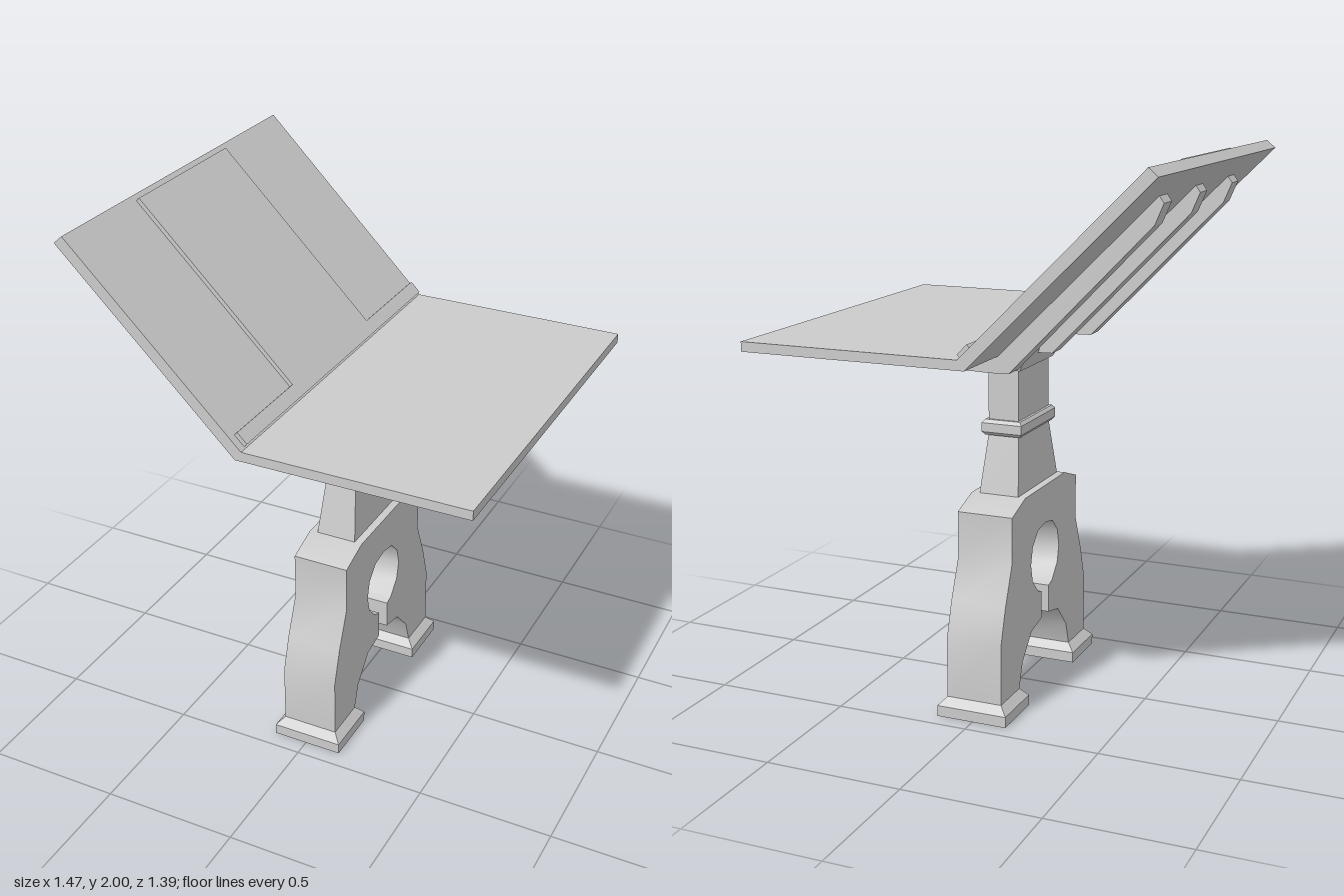
import * as THREE from 'three';
import { toCreasedNormals } from 'three/addons/utils/BufferGeometryUtils.js';

const material = new THREE.MeshStandardMaterial({ color: 0xcccccc });
const CX = 0.005; // x of the pedestal's centre line

function addMesh(parent, name, geometry) {
  const mesh = new THREE.Mesh(geometry, material);
  mesh.name = name;
  parent.add(mesh);
  return mesh;
}

// Extrudes an outline by depth, centred on the extrusion axis
function extrude(points, depth, crease = 0.2) {
  const shape = new THREE.Shape(points.map(([a, b]) => new THREE.Vector2(a, b)));
  const geometry = new THREE.ExtrudeGeometry(shape, { depth, bevelEnabled: false });
  geometry.translate(0, 0, -depth / 2);
  return toCreasedNormals(geometry, crease);
}

// Stacks rectangular sections [y, halfX, zMin, zMax] into a closed solid
function loft(sections, crease = 0.2) {
  const positions = [];
  const index = [];
  sections.forEach(([y, hx, z0, z1]) => {
    positions.push(CX - hx, y, z1, CX + hx, y, z1, CX + hx, y, z0, CX - hx, y, z0);
  });
  for (let s = 0; s < sections.length - 1; s++) {
    for (let i = 0; i < 4; i++) {
      const a = s * 4 + i, b = s * 4 + (i + 1) % 4;
      index.push(a, b, b + 4, a, b + 4, a + 4);
    }
  }
  const t = (sections.length - 1) * 4;
  index.push(0, 2, 1, 0, 3, 2, t, t + 1, t + 2, t, t + 2, t + 3);
  const geometry = new THREE.BufferGeometry();
  geometry.setAttribute('position', new THREE.Float32BufferAttribute(positions, 3));
  geometry.setIndex(index);
  return toCreasedNormals(geometry, crease);
}

const centred = (rows) => rows.map(([y, hx, hz]) => [y, hx, -hz, hz]);

export function createModel() {
  const model = new THREE.Group();
  model.name = 'lectern';

  // Arched base: half outline (z, y), mirrored, with a keyhole opening
  const half = [
    [0.19, 0.775], [0.31, 0.735], [0.31, 0.565], [0.37, 0.42], [0.41, 0.29], [0.41, 0.07],
    [0.245, 0.07], [0.215, 0.16], [0.13, 0.25], [0.035, 0.27], [0.035, 0.375],
    [0.07, 0.387], [0.12, 0.44], [0.136, 0.505], [0.12, 0.57], [0.07, 0.62],
  ];
  const outline = [...half, [0, 0.632], ...half.map(([z, y]) => [-z, y]).reverse()];
  const base = addMesh(model, 'archedBase', extrude(outline, 0.21, 0.7));
  base.rotation.y = -Math.PI / 2;
  base.position.x = CX;

  // Flared feet
  for (const [name, side] of [['frontFoot', 1], ['backFoot', -1]]) {
    const rows = [[0, 0.133, 0.22, 0.437], [0.04, 0.133, 0.22, 0.437], [0.07, 0.105, 0.245, 0.41]];
    addMesh(model, name, loft(rows.map(([y, hx, a, b]) =>
      side > 0 ? [y, hx, a, b] : [y, hx, -b, -a])));
  }

  // Column: tapered lower part and straight shaft
  addMesh(model, 'column', loft(centred([
    [0.77, 0.076, 0.187], [0.99, 0.058, 0.142], [1.24, 0.058, 0.142],
  ]), 0.02));
  addMesh(model, 'collar', loft(centred([
    [0.985, 0.068, 0.152], [0.997, 0.077, 0.162], [1.03, 0.077, 0.162], [1.042, 0.068, 0.152],
  ])));
  addMesh(model, 'capital', loft(centred([
    [1.228, 0.07, 0.155], [1.29, 0.096, 0.18], [1.336, 0.075, 0.15],
  ])));

  // Bent board: flat desk with a sloping rest
  addMesh(model, 'board', extrude([
    [-0.738, 1.972], [-0.1, 1.335], [0.735, 1.335], [0.735, 1.37], [-0.075, 1.37], [-0.706, 2.0],
  ], 1.39));

  // Ribs under the board
  const rib = extrude([
    [-0.655, 1.892], [-0.672, 1.868], [-0.642, 1.797], [-0.14, 1.278], [-0.07, 1.276],
    [0.565, 1.294], [0.637, 1.322], [0.637, 1.337], [-0.1, 1.337],
  ], 0.08);
  for (const z of [-0.39, 0, 0.39]) addMesh(model, 'rib', rib).position.z = z;

  // Thin T-shaped panel lying on the sloping rest
  const panel = extrude([
    [-0.665, 0], [0.685, 0], [0.685, 0.05], [0.288, 0.05], [0.288, 0.863],
    [-0.288, 0.863], [-0.288, 0.05], [-0.665, 0.05],
  ], 0.016);
  panel.applyMatrix4(new THREE.Matrix4().makeBasis(
    new THREE.Vector3(0, 0, -1),
    new THREE.Vector3(-Math.SQRT1_2, Math.SQRT1_2, 0),
    new THREE.Vector3(Math.SQRT1_2, Math.SQRT1_2, 0),
  ));
  addMesh(model, 'slopePanel', panel).position.set(-0.075, 1.38, 0);

  return model;
}
